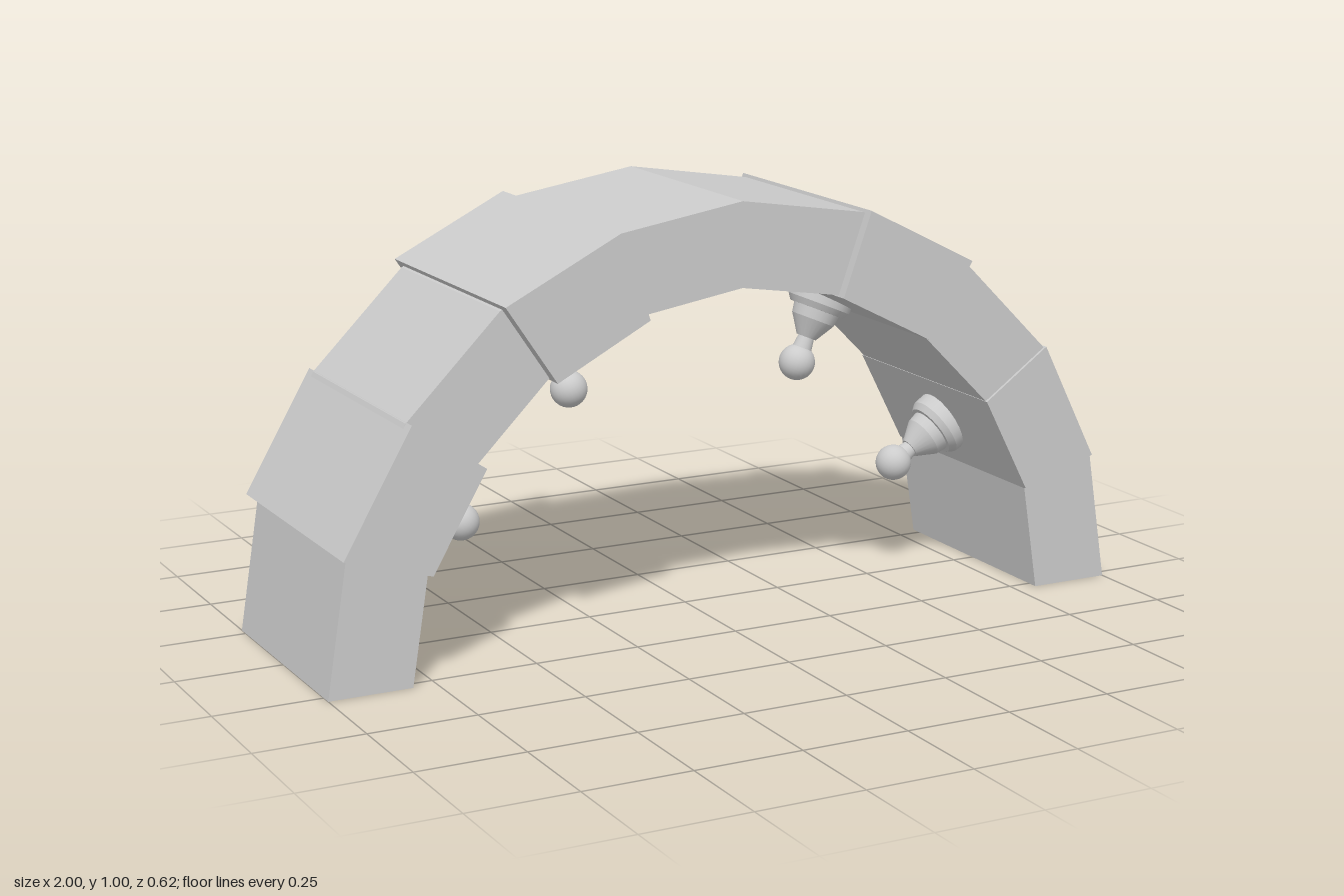
import * as THREE from 'three';

const material = new THREE.MeshStandardMaterial({ color: 0xcccccc, flatShading: true, side: THREE.DoubleSide });
const smooth = new THREE.MeshStandardMaterial({ color: 0xcccccc });

// Hollow faceted arch, open at both feet, swept from rectangular cross-sections.
function archGeometry(inner, outer, half, steps) {
  const positions = [], index = [];
  for (let i = 0; i <= steps; i++) {
    const a = (Math.PI * i) / steps, c = Math.cos(a), s = Math.sin(a);
    for (const [r, z] of [[outer, half], [outer, -half], [inner, -half], [inner, half]])
      positions.push(r * c, r * s, z);
  }
  for (let i = 0; i < steps; i++) {
    for (let k = 0; k < 4; k++) {
      const a = i * 4 + k, b = i * 4 + ((k + 1) % 4);
      index.push(a, b, b + 4, a, b + 4, a + 4);
    }
  }
  const g = new THREE.BufferGeometry();
  g.setAttribute('position', new THREE.Float32BufferAttribute(positions, 3));
  g.setIndex(index);
  const flat = g.toNonIndexed();
  flat.computeVertexNormals();
  return flat;
}

// Closed wedge-shaped block given by its front outline.
function blockGeometry(corners, half) {
  const shape = new THREE.Shape(corners.map(([x, y]) => new THREE.Vector2(x, y)));
  return new THREE.ExtrudeGeometry(shape, { depth: half * 2, bevelEnabled: false }).translate(0, 0, -half);
}

// Stepped mount, tapering socket and ball, pointing along +y from its base.
function createLamp(length) {
  const lamp = new THREE.Group();
  const parts = [
    ['lampMount', [[0.078, -0.02], [0.076, 0.015], [0.066, 0.03], [0, 0.03]]],
    ['lampSocket', [[0.056, 0.03], [0.052, 0.055], [0.024, 0.1], [0, 0.1]]],
    ['lampNeck', [[0.018, 0.09], [0.024, length - 0.03]]],
  ];
  for (const [name, profile] of parts) {
    // Each straight band gets its own lathe so the steps stay crisp.
    const group = new THREE.Group();
    group.name = name;
    for (let i = 0; i + 1 < profile.length; i++) {
      const band = [profile[i], profile[i + 1]].map(([x, y]) => new THREE.Vector2(x, y));
      group.add(new THREE.Mesh(new THREE.LatheGeometry(band, 24), smooth));
    }
    lamp.add(group);
  }
  const ball = new THREE.Mesh(new THREE.SphereGeometry(0.043, 24, 16), smooth);
  ball.name = 'lampBall';
  ball.position.y = length;
  lamp.add(ball);
  return lamp;
}

export function createModel() {
  const model = new THREE.Group();
  model.name = 'arch';
  const add = (name, geometry) => {
    const mesh = new THREE.Mesh(geometry, material);
    mesh.name = name;
    model.add(mesh);
  };

  add('archBody', archGeometry(0.805, 1, 0.277, 10));

  // Four raised blocks, each a little different in width.
  add('lowerLeftBlock', blockGeometry([[0.953, 0.31], [0.812, 0.59], [0.649, 0.474], [0.765, 0.25]], 0.284));
  add('upperLeftBlock', blockGeometry([[0.588, 0.818], [0.316, 0.957], [0.246, 0.762], [0.474, 0.645]], 0.302));
  add('upperRightBlock', blockGeometry([[-0.316, 0.96], [-0.59, 0.823], [-0.47, 0.645], [-0.246, 0.762]], 0.312));
  add('lowerRightBlock', blockGeometry([[-0.807, 0.59], [-0.968, 0.312], [-0.765, 0.253], [-0.636, 0.475]], 0.307));

  // Lamps on the inner face of the blocks, mirrored left and right.
  const spots = [
    ['lowerLamp', [0.7, 0.355], [0.57, 0.272]],
    ['upperLamp', [0.362, 0.7], [0.298, 0.55]],
  ];
  for (const [name, base, ball] of spots) {
    for (const side of [1, -1]) {
      const from = new THREE.Vector3(side * base[0], base[1], 0);
      const dir = new THREE.Vector3(side * ball[0], ball[1], 0).sub(from);
      const lamp = createLamp(dir.length());
      lamp.name = name + (side > 0 ? 'Left' : 'Right');
      lamp.position.copy(from);
      lamp.quaternion.setFromUnitVectors(new THREE.Vector3(0, 1, 0), dir.normalize());
      model.add(lamp);
    }
  }
  return model;
}
